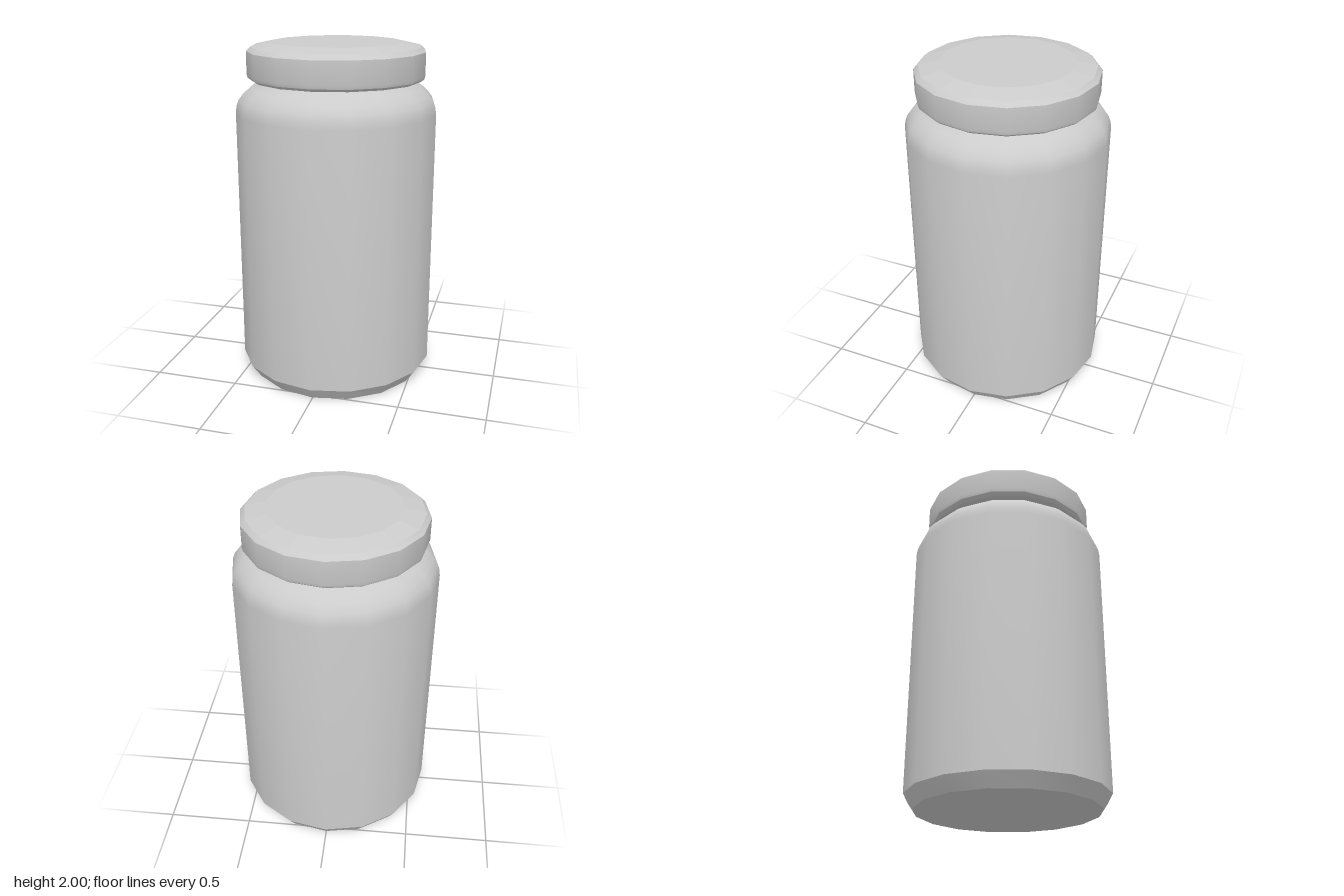
import * as THREE from 'three';
import { toCreasedNormals } from 'three/addons/utils/BufferGeometryUtils.js';

const SIDES = 16;

// Revolve a [radius, height] profile, listed from bottom to top
function turned(name, profile, creaseAngle) {
  const points = profile.map(([r, y]) => new THREE.Vector2(r, y));
  const geometry = toCreasedNormals(new THREE.LatheGeometry(points, SIDES), creaseAngle);
  const material = new THREE.MeshStandardMaterial({ color: 0xcccccc, side: THREE.DoubleSide });
  const mesh = new THREE.Mesh(geometry, material);
  mesh.name = name;
  return mesh;
}

export function createModel() {
  const jar = new THREE.Group();
  jar.name = 'jar';

  // Body: flat base, chamfer, straight wall, rounded shoulder and short neck
  jar.add(turned('body', [
    [0, 0], [0.53, 0], [0.585, 0.08], [0.585, 1.6],
    [0.58, 1.64], [0.567, 1.675], [0.54, 1.71], [0.5, 1.745], [0.445, 1.77],
    [0.435, 1.78], [0.435, 1.82],
  ], 0.52));

  // Lid skirt with a turned-in lower lip and a bevelled upper edge
  jar.add(turned('lidSkirt', [
    [0.43, 1.785], [0.49, 1.785], [0.51, 1.8], [0.516, 1.82],
    [0.516, 1.95], [0.49, 1.975],
  ], 0.5));

  // Faceted lid top: sloping ring around a flat disc
  jar.add(turned('lidTop', [[0.49, 1.975], [0.375, 2], [0, 2]], 0.05));

  return jar;
}
